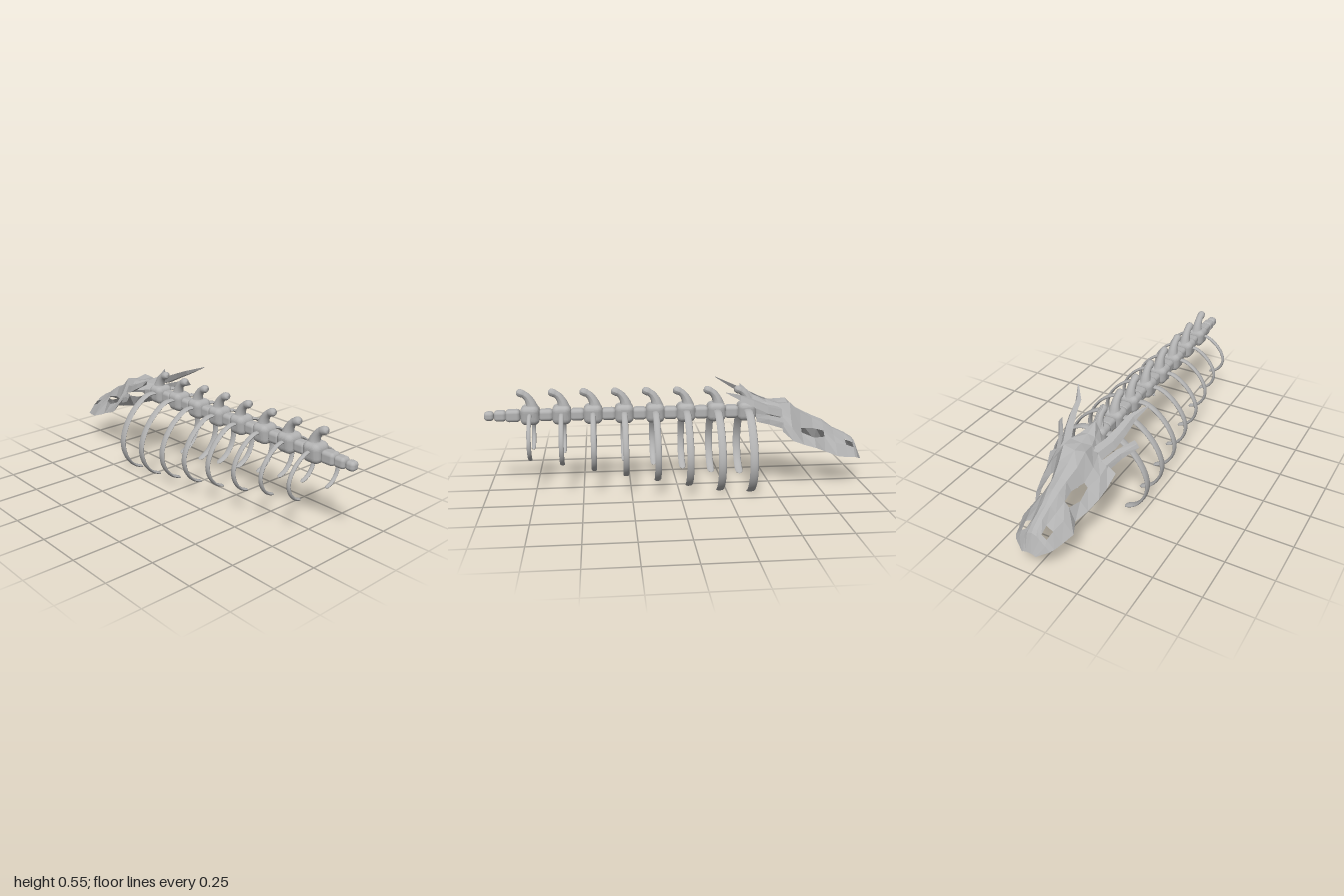
import * as THREE from 'three';
import { RoundedBoxGeometry } from 'three/addons/geometries/RoundedBoxGeometry.js';

const bone = new THREE.MeshStandardMaterial({ color: 0xb2b2b2, side: THREE.DoubleSide });
bone.name = 'bone grey';

function add(parent, geometry, name, x = 0, y = 0, z = 0) {
  const mesh = new THREE.Mesh(geometry, bone);
  mesh.name = name;
  mesh.position.set(x, y, z);
  parent.add(mesh);
  return mesh;
}

// Tube whose ring radius follows a rule along its length
function taperTube(points, n, sides, radius) {
  const curve = new THREE.CatmullRomCurve3(points.map(p => new THREE.Vector3(...p)));
  const geo = new THREE.TubeGeometry(curve, n, 1, sides);
  const pos = geo.attributes.position;
  const v = new THREE.Vector3();
  for (let i = 0; i <= n; i++) {
    const c = curve.getPointAt(i / n);
    for (let j = 0; j <= sides; j++) {
      const k = i * (sides + 1) + j;
      v.fromBufferAttribute(pos, k).sub(c).multiplyScalar(radius(i / n)).add(c);
      pos.setXYZ(k, v.x, v.y, v.z);
    }
  }
  geo.computeVertexNormals();
  return geo;
}

// Faceted sheet from rows of points; skip(i, j) leaves a cell open
function facets(rows, skip = () => false) {
  const out = [];
  for (let i = 0; i < rows.length - 1; i++) {
    const n = Math.min(rows[i].length, rows[i + 1].length);
    for (let j = 0; j < n - 1; j++) {
      if (skip(i, j)) continue;
      const a = rows[i][j], b = rows[i][j + 1], c = rows[i + 1][j + 1], d = rows[i + 1][j];
      out.push(...a, ...d, ...b, ...b, ...d, ...c);
    }
  }
  const geo = new THREE.BufferGeometry();
  geo.setAttribute('position', new THREE.Float32BufferAttribute(out, 3));
  geo.computeVertexNormals();
  return geo;
}

// Horn with a diamond section: [x, y, z, half width, half thickness]
function horn(sections, tilt) {
  const c = Math.cos(tilt), s = Math.sin(tilt);
  const rows = sections.map(([x, y, z, w, t]) =>
    [[w, 0], [0, t], [-w, 0], [0, -t], [w, 0]].map(([u, v]) => [x + u * c - v * s, y + u * s + v * c, z]));
  const [x, y, z] = sections[sections.length - 1];
  rows.push(rows[0].map(() => [x, y, z]));
  return facets(rows);
}

function vertebraGeometry() {
  const geo = new RoundedBoxGeometry(0.11, 0.1, 0.098, 4, 0.03);
  const pos = geo.attributes.position;
  // narrower below, and slimmer toward both joints
  for (let i = 0; i < pos.count; i++) {
    const y = pos.getY(i), z = pos.getZ(i);
    const s = (0.92 + y * 1.6) * (1 - 35 * z * z);
    pos.setX(i, pos.getX(i) * s);
  }
  geo.computeVertexNormals();
  return geo;
}

function buildSpine(root) {
  const vertebra = vertebraGeometry();
  const spike = taperTube([[0, 0.03, -0.012], [0, 0.065, -0.004], [0, 0.1, 0.018], [0, 0.125, 0.066]], 20, 12,
    t => t < 0.75 ? 0.019 + 0.016 * Math.pow(1 - t / 0.75, 2)
      : 0.021 * Math.sqrt(Math.max(0, 1 - Math.pow((t - 0.75) / 0.25, 4))));
  const ribPath = [[0.03, 0.43], [0.1, 0.427], [0.19, 0.362], [0.25, 0.272], [0.27, 0.19],
    [0.253, 0.11], [0.205, 0.045], [0.14, 0.012]];
  const halfWidth = [0.175, 0.19, 0.21, 0.23, 0.245, 0.26, 0.271, 0.273];
  const lowest = [0.2, 0.172, 0.14, 0.109, 0.08, 0.05, 0.02, 0.008];

  for (let i = 0; i < 8; i++) {
    const z = 0.765 - 0.162 * i, y = 0.422 - 0.0008 * i;
    add(root, vertebra, 'vertebra', 0, y, z);
    add(root, spike, 'spinousProcess', 0, y, z);
    const size = 0.062 + 0.001 * i;
    add(root, new RoundedBoxGeometry(size, size, 0.075, 4, 0.02), 'discBone', 0, y - 0.002, z - 0.081);

    // Flat curved ribs, longer and broader toward the skull
    const sx = halfWidth[i] / 0.273, sy = (0.43 - lowest[i] - 0.006) / 0.418;
    const geo = taperTube(ribPath.map(([x, h]) => [x * sx, 0.43 - (0.43 - h) * sy, 0]), 48, 10,
      t => 0.0075 * Math.sqrt(Math.max(0, 1 - Math.pow(t, 60))));
    geo.scale(1, 1, (0.011 + 0.0015 * i) / 0.0075);
    geo.computeVertexNormals();
    for (const side of [1, -1]) {
      add(root, geo, side > 0 ? 'leftRib' : 'rightRib', 0, 0, z).scale.x = side;
    }
  }
  // Tail end
  [[0.975, 0.048, 0.05], [0.918, 0.056, 0.062], [0.853, 0.063, 0.075]].forEach(([z, s, l]) =>
    add(root, new RoundedBoxGeometry(s, s, l, 4, 0.018), 'tailBone', 0, 0.42, z));
}

function buildSkull(root) {
  // Half sections from snout to crown: z, then x, y pairs from ridge to jaw edge
  const sections = [
    [-1.0, 0, 0.15, 0.012, 0.15, 0.02, 0.148, 0.03, 0.145, 0.037, 0.14],
    [-0.965, 0, 0.24, 0.025, 0.232, 0.04, 0.215, 0.07, 0.19, 0.092, 0.163],
    [-0.948, 0, 0.258, 0.02, 0.252, 0.042, 0.235, 0.068, 0.215, 0.105, 0.17],
    [-0.905, 0, 0.285, 0.02, 0.28, 0.04, 0.252, 0.075, 0.232, 0.118, 0.175],
    [-0.84, 0, 0.315, 0.022, 0.312, 0.05, 0.28, 0.09, 0.25, 0.14, 0.19],
    [-0.78, 0, 0.36, 0.03, 0.35, 0.06, 0.31, 0.082, 0.283, 0.112, 0.21],
    [-0.72, 0, 0.385, 0.035, 0.375, 0.058, 0.325, 0.105, 0.285, 0.145, 0.24],
    [-0.65, 0, 0.42, 0.05, 0.412, 0.085, 0.335, 0.103, 0.315, 0.162, 0.265],
    [-0.59, 0, 0.455, 0.06, 0.468, 0.1, 0.39, 0.135, 0.35, 0.17, 0.29],
    [-0.53, 0, 0.46, 0.06, 0.465, 0.09, 0.42, 0.14, 0.38, 0.185, 0.345],
    [-0.47, 0, 0.475, 0.04, 0.468, 0.078, 0.43],
    [-0.4, 0, 0.505, 0.02, 0.47, 0.04, 0.44],
    [-0.33, 0, 0.567, 0.002, 0.56, 0.003, 0.55],
  ];
  const rows = sections.map(([z, ...p]) => {
    const row = [];
    for (let i = 0; i < p.length; i += 2) row.push([p[i], p[i + 1], z]);
    return row;
  });
  // Open cells are the nostril and the eye socket
  const shell = facets(rows, (i, j) => j === 2 && (i === 2 || i === 5 || i === 6));
  const upperHorn = horn([[0.085, 0.425, -0.54, 0.036, 0.02], [0.118, 0.45, -0.46, 0.034, 0.02],
    [0.14, 0.49, -0.38, 0.028, 0.016], [0.152, 0.522, -0.31, 0.022, 0.012], [0.2, 0.56, -0.23, 0.003, 0.002]], -0.6);
  const cheekHorn = horn([[0.13, 0.375, -0.54, 0.03, 0.012], [0.165, 0.405, -0.46, 0.026, 0.008],
    [0.217, 0.433, -0.38, 0.022, 0.002]], -0.95);

  for (const side of [1, -1]) {
    const half = new THREE.Group();
    half.name = side > 0 ? 'leftSkull' : 'rightSkull';
    half.scale.x = side;
    add(half, shell, 'skullShell');
    add(half, upperHorn, 'upperHorn');
    add(half, cheekHorn, 'cheekHorn');
    root.add(half);
  }
}

export function createModel() {
  const root = new THREE.Group();
  root.name = 'hornedSkeleton';
  buildSpine(root);
  buildSkull(root);
  return root;
}
